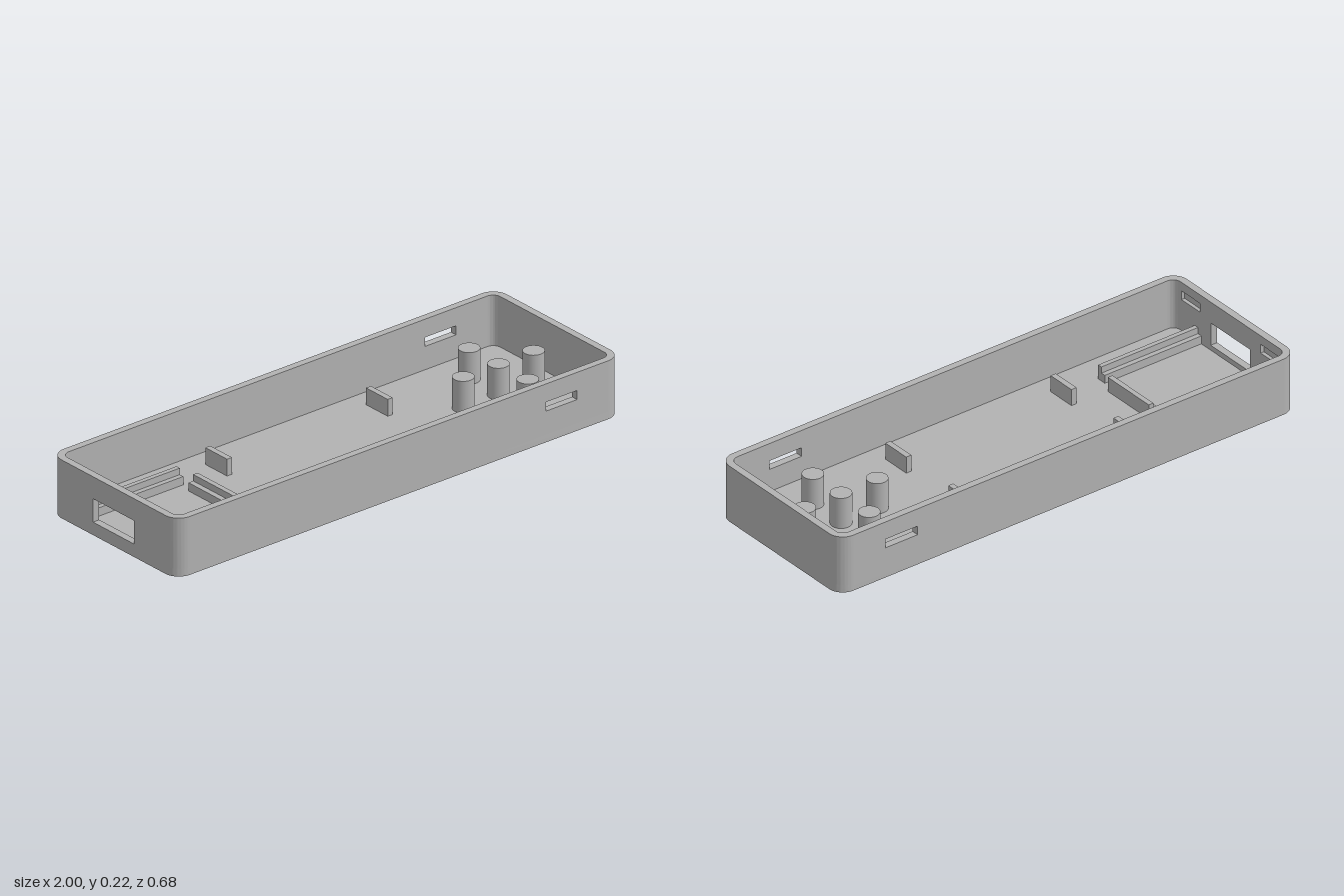
import * as THREE from 'three';
import { toCreasedNormals } from 'three/addons/utils/BufferGeometryUtils.js';

const L = 1, W = 0.34, H = 0.225; // half length, half width, height
const R = 0.06, T = 0.028, FLOOR = 0.03; // corner radius, wall, floor thickness

export function createModel() {
  const group = new THREE.Group();
  const grey = new THREE.MeshStandardMaterial({ color: 0xb2b2b2 });
  grey.name = 'grey plastic';

  const add = (name, geometry, x = 0, y = 0, z = 0, turn = 0) => {
    const mesh = new THREE.Mesh(geometry, grey);
    mesh.name = name;
    mesh.position.set(x, y, z);
    mesh.rotation.y = turn;
    group.add(mesh);
  };
  const extrude = (shape, depth) => toCreasedNormals(
    new THREE.ExtrudeGeometry(shape, { depth, bevelEnabled: false, curveSegments: 12 }), 0.5);
  const rect = (Type, x0, x1, y0, y1) => new Type([
    new THREE.Vector2(x0, y0), new THREE.Vector2(x1, y0),
    new THREE.Vector2(x1, y1), new THREE.Vector2(x0, y1)]);
  // Upright wall slab with rectangular openings [x0, x1, y0, y1]
  const panel = (half, depth, openings = []) => {
    const shape = rect(THREE.Shape, -half, half, FLOOR, H);
    for (const o of openings) shape.holes.push(rect(THREE.Path, ...o));
    return extrude(shape, depth);
  };
  // Box given by its limits, standing on the floor
  const block = (name, x0, x1, top, z0, z1) => add(name,
    new THREE.BoxGeometry(x1 - x0, top - FLOOR, z1 - z0),
    (x0 + x1) / 2, (top + FLOOR) / 2, (z0 + z1) / 2);

  // Floor plate with rounded corners
  const cx = L - R, cz = W - R;
  const plate = new THREE.Shape();
  plate.absarc(cx, cz, R, 0, Math.PI / 2);
  plate.absarc(-cx, cz, R, Math.PI / 2, Math.PI);
  plate.absarc(-cx, -cz, R, Math.PI, Math.PI * 1.5);
  plate.absarc(cx, -cz, R, Math.PI * 1.5, Math.PI * 2);
  add('floor', extrude(plate, FLOOR).rotateX(-Math.PI / 2));

  // Long walls, each with a slot
  const slot = [0.66, 0.8, 0.12, 0.155];
  add('frontWall', panel(cx, T, [slot]), 0, 0, W - T);
  add('backWall', panel(cx, T, [slot]), 0, 0, -W);

  // End walls: one plain, one with a port window and two inner pockets
  const port = [-0.11, 0.11, 0.05, 0.14];
  const pockets = [[-0.29, -0.17, 0.155, 0.19], [0.17, 0.29, 0.155, 0.19]]
    .map(([a, b, c, d]) => [Math.max(a, -cz + 0.005), Math.min(b, cz - 0.005), c, d]);
  add('leftEndWall', panel(cz, T), L - T, 0, 0, Math.PI / 2);
  add('portWallOuter', panel(cz, T / 2, [port]), -L, 0, 0, Math.PI / 2);
  add('portWallInner', panel(cz, T / 2, [port, ...pockets]), -L + T / 2, 0, 0, Math.PI / 2);

  // Rounded wall corners
  const arc = new THREE.Shape();
  arc.absarc(0, 0, R, 0, Math.PI / 2, false);
  arc.absarc(0, 0, R - T, Math.PI / 2, 0, true);
  const corner = extrude(arc, H - FLOOR).rotateX(-Math.PI / 2);
  [[1, -1], [-1, -1], [-1, 1], [1, 1]].forEach(([sx, sz], k) =>
    add('wallCorner', corner, sx * cx, FLOOR, sz * cz, k * Math.PI / 2));

  // Stepped rails and clips, mirrored front to back
  for (const s of [-1, 1]) {
    const mirrored = (name, x0, x1, top, a, b) =>
      block(name, x0, x1, top, Math.min(s * a, s * b), Math.max(s * a, s * b));
    mirrored('railHigh', -L + T, -0.55, 0.087, 0.182, 0.2);
    mirrored('railLow', -L + T, -0.55, 0.062, 0.163, 0.182);
    for (const x of [-0.38, 0.342]) mirrored('supportTab', x - 0.011, x + 0.011, 0.095, 0.118, 0.235);
  }

  // Stepped stop at the end of the rails
  block('stopHigh', -0.546, -0.526, 0.087, -0.115, 0.115);
  block('stopLow', -0.567, -0.546, 0.062, -0.115, 0.115);

  // Posts in a cross
  const post = new THREE.CylinderGeometry(0.039, 0.039, 0.152 - FLOOR, 32);
  for (const [dx, dz] of [[0, 0], [1, 0], [-1, 0], [0, 1], [0, -1]])
    add('post', post, 0.73 + dx * 0.158, (0.152 + FLOOR) / 2, dz * 0.158);

  return group;
}
